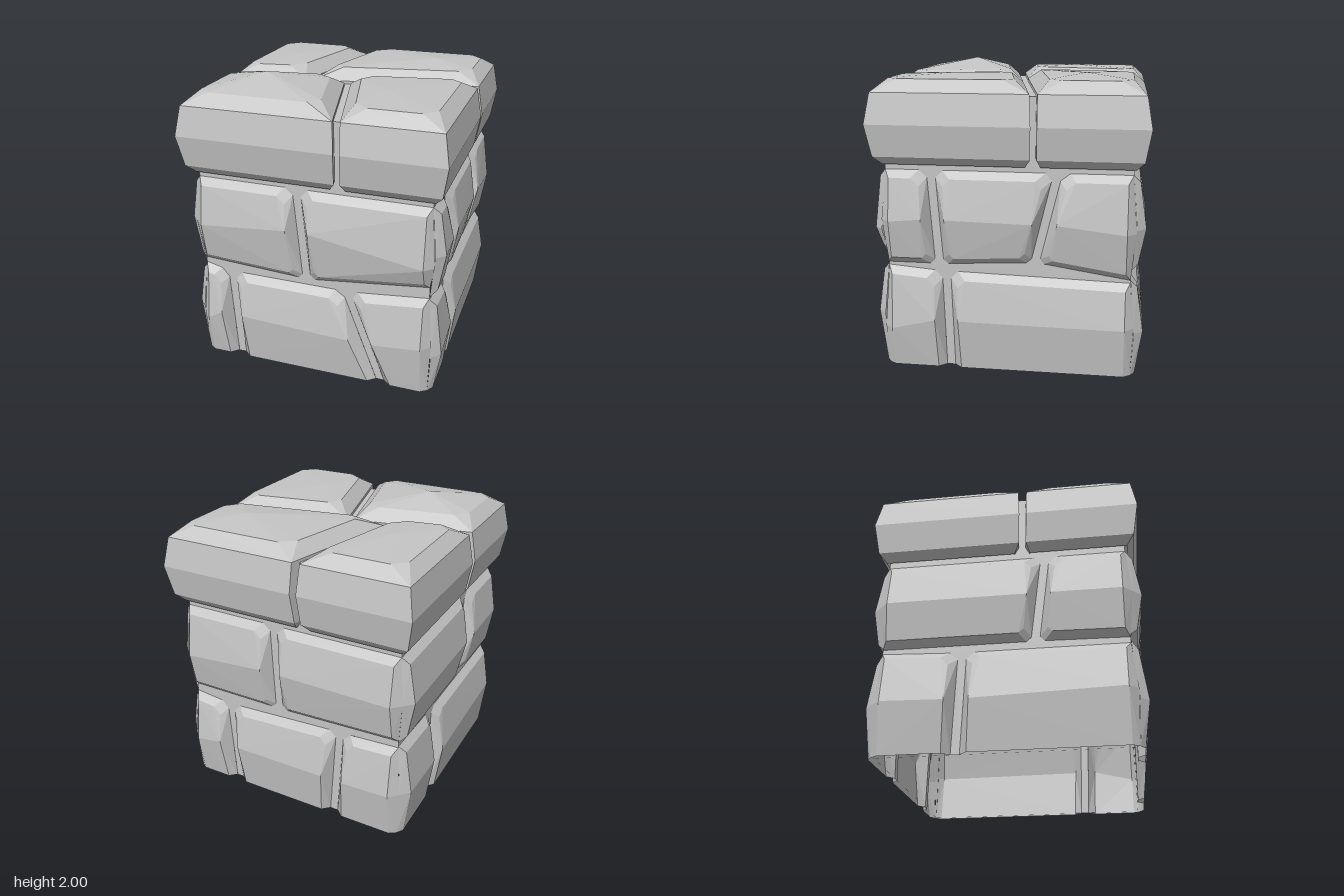
import * as THREE from 'three';
import { ConvexGeometry } from 'three/addons/geometries/ConvexGeometry.js';

const stone = new THREE.MeshStandardMaterial({ color: 0xc4c4c4, side: THREE.DoubleSide });
stone.name = 'grey stone';

const V = (x, y, z) => new THREE.Vector3(x, y, z);

// Convex stone shell without the faces whose normal passes the test
function shell(name, points, isOpen) {
  const full = new ConvexGeometry(points);
  const pos = full.attributes.position.array, nor = full.attributes.normal.array;
  const keptPos = [], keptNor = [];
  for (let i = 0; i < pos.length; i += 9) {
    if (isOpen(nor[i + 1], nor[i + 2])) continue;
    keptPos.push(...pos.slice(i, i + 9));
    keptNor.push(...nor.slice(i, i + 9));
  }
  const geometry = new THREE.BufferGeometry();
  geometry.setAttribute('position', new THREE.Float32BufferAttribute(keptPos, 3));
  geometry.setAttribute('normal', new THREE.Float32BufferAttribute(keptNor, 3));
  const mesh = new THREE.Mesh(geometry, stone);
  mesh.name = name;
  return mesh;
}

// Flat mortar sheet with an opening behind each stone
function mortar(name, bottom, top, openings) {
  const toPoints = poly => poly.map(([x, y]) => new THREE.Vector2(
    THREE.MathUtils.clamp(x, -0.799, 0.799), THREE.MathUtils.clamp(y, bottom + 0.001, top - 0.001)));
  const shape = new THREE.Shape([[-0.8, bottom], [0.8, bottom], [0.8, top], [-0.8, top]]
    .map(p => new THREE.Vector2(...p)));
  shape.holes = openings.map(poly => new THREE.Path(toPoints(poly)));
  const mesh = new THREE.Mesh(new THREE.ShapeGeometry(shape), stone);
  mesh.name = name;
  return mesh;
}

// Move each edge of a convex polygon inwards by its own distance
function inset(poly, dist) {
  const n = poly.length;
  const cx = poly.reduce((s, p) => s + p[0], 0) / n;
  const cy = poly.reduce((s, p) => s + p[1], 0) / n;
  const lines = poly.map((p, i) => {
    const q = poly[(i + 1) % n];
    const len = Math.hypot(q[0] - p[0], q[1] - p[1]);
    let a = -(q[1] - p[1]) / len, b = (q[0] - p[0]) / len;
    if (a * (cx - p[0]) + b * (cy - p[1]) < 0) { a = -a; b = -b; }
    return [a, b, a * p[0] + b * p[1] + dist[i]];
  });
  return lines.map((l, i) => {
    const k = lines[(i + n - 1) % n];
    const det = k[0] * l[1] - l[0] * k[1];
    return [(k[2] * l[1] - l[2] * k[1]) / det, (k[0] * l[2] - l[0] * k[2]) / det];
  });
}

// Cut each corner of a polygon back by its own length
function chop(poly, sizes) {
  const n = poly.length;
  return poly.flatMap((p, i) => sizes[i] === 0 ? [p] : [poly[(i + n - 1) % n], poly[(i + 1) % n]].map(q => {
    const t = sizes[i] / Math.hypot(q[0] - p[0], q[1] - p[1]);
    return [p[0] + (q[0] - p[0]) * t, p[1] + (q[1] - p[1]) * t];
  }));
}

// Point on the line p-q at height h
function atHeight(p, q, h) {
  return p[0] + (q[0] - p[0]) * (h - p[1]) / (q[1] - p[1]);
}

// Wall brick: outline (TL, TR, BR, BL) and the ridge heights at its two ends
function brick(quad, ridge) {
  const out = 0.89;
  const grounded = quad[2][1] === 0;
  const atLeft = quad[0][0] === -0.8, atRight = quad[1][0] === 0.8;
  const front = inset(quad, [0.05, atRight ? 0.03 : 0.05, grounded ? 0 : 0.045, atLeft ? 0.03 : 0.05]);
  const low = grounded ? 0 : 0.03;
  const cuts = [atLeft ? 0 : 0.05, atRight ? 0 : 0.05, atRight ? 0 : low, atLeft ? 0 : low];
  const outline = chop(quad, cuts);
  const pts = [...outline.map(([u, v]) => V(u, v, 0.8)), ...chop(front, cuts).map(([u, v]) => V(u, v, 0.845))];
  [[0, 3, atLeft, -1], [1, 2, atRight, 1]].forEach(([t, b, corner, side], i) => {
    const h = ridge[i];
    pts.push(V(atHeight(front[t], front[b], h), h, out));
    if (corner) {
      // Chamfer shared with the neighbouring wall
      const c = (0.77 + out) / 2;
      pts.push(V(side * c, h, c));
      if (grounded) pts.push(V(side * 0.815, 0, 0.815));
    }
  });
  return { outline, mesh: shell('brick', pts, (ny, nz) => nz < -0.3 || (grounded && ny < -0.99)) };
}

// Bricks of one row between two corners. Each joint is [u at top, u at bottom,
// edge height, ridge height]; a corner gives only the last two. The edge is
// the underside of an upper row or the top of a lower row.
function row(upper, [leftCorner, joints, rightCorner]) {
  const ends = [[-0.8, -0.8, ...leftCorner], ...joints, [0.8, 0.8, ...rightCorner]];
  return ends.slice(1).map(([rt, rb, ry, rr], i) => {
    const [lt, lb, ly, lr] = ends[i];
    const gl = i === 0 ? 0 : 0.028, gr = i + 2 === ends.length ? 0 : 0.028;
    return brick([
      [lt + gl, upper ? 1.35 : ly], [rt - gr, upper ? 1.35 : ry],
      [rb - gr, upper ? ry : 0], [lb + gl, upper ? ly : 0],
    ], [lr, rr]);
  });
}

// Wall made of an upper and a lower row over mortar, turned to face its side
function wall(name, quarterTurns, upper, lower) {
  const group = new THREE.Group();
  group.name = name;
  group.rotation.y = quarterTurns * Math.PI / 2;
  const bricks = [...row(true, upper), ...row(false, lower)];
  const sheet = mortar('mortar', 0, 1.83, bricks.map(b => b.outline));
  sheet.position.z = 0.8;
  group.add(sheet, ...bricks.map(b => b.mesh));
  return group;
}

// Layers of a cap stone: height, inset of outer edges, inset of joint edges
const LAYERS = [[1.385, 0.085, 0.03], [1.44, 0.035, 0], [1.65, 0, 0], [1.85, 0.035, 0.005]];

// Cap stone: plan outline in x,z rising to a peak
function cap(name, plan, peak) {
  const isOuter = plan.map((p, i) => {
    const q = plan[(i + 1) % 4];
    return [0, 1].some(k => p[k] === q[k] && Math.abs(p[k]) === 0.9);
  });
  const layer = (outer, joint) => inset(plan, isOuter.map(o => (o ? outer : joint)));
  const pts = [V(...peak)];
  for (const [y, outer, joint] of LAYERS) {
    pts.push(...layer(outer, joint).map(([x, z]) => V(x, y, z)));
  }
  pts.push(...chop(layer(0.115, 0.09), [0.08, 0.08, 0.08, 0.08]).map(([x, z]) => V(x, 1.93, z)));
  return shell(name, pts, ny => ny < -0.99);
}

export function createModel() {
  const model = new THREE.Group();
  model.name = 'stonePillar';

  // Four walls with two rows of bricks each
  model.add(
    wall('frontWall', 0,
      [[0.74, 1.03], [[-0.105, -0.045, 0.7, 1.08]], [0.79, 0.95]],
      [[0.7, 0.3], [[-0.605, -0.565, 0.66, 0.36], [0.235, 0.48, 0.655, 0.33]], [0.71, 0.36]]),
    wall('rightWall', 1,
      [[0.72, 1.02], [[-0.5, -0.455, 0.72, 1.04], [0.325, 0.18, 0.75, 1.03]], [0.66, 0.98]],
      [[0.7, 0.28], [[-0.41, -0.39, 0.67, 0.35]], [0.64, 0.34]]),
    wall('backWall', 2,
      [[0.72, 1.0], [[-0.115, -0.095, 0.715, 1.04]], [0.74, 1.03]],
      [[0.66, 0.3], [[-0.51, -0.475, 0.63, 0.33], [0.375, 0.325, 0.67, 0.33]], [0.69, 0.34]]),
    wall('leftWall', 3,
      [[0.73, 1.03], [[0.27, 0.2, 0.73, 1.03]], [0.72, 1.03]],
      [[0.7, 0.34], [[-0.27, -0.295, 0.68, 0.33]], [0.68, 0.36]]),
  );

  // Mortar in the joints of the top
  const lid = mortar('mortarTop', -0.8, 0.8, []);
  lid.rotation.x = -Math.PI / 2;
  lid.position.y = 1.83;
  model.add(lid);

  // Four overhanging cap stones
  model.add(
    cap('capFrontLeft', [[-0.9, 0.155], [-0.045, 0.005], [0.185, 0.9], [-0.9, 0.9]], [-0.45, 2, 0.42]),
    cap('capFrontRight', [[-0.01, 0], [0.9, -0.16], [0.9, 0.9], [0.225, 0.9]], [0.38, 1.945, 0.4]),
    cap('capBackLeft', [[-0.9, 0.11], [-0.335, 0.015], [-0.125, -0.9], [-0.9, -0.9]], [-0.52, 1.945, -0.35]),
    cap('capBackRight', [[-0.295, 0.01], [0.9, -0.2], [0.9, -0.9], [-0.08, -0.9]], [0.5, 1.96, -0.48]),
  );
  return model;
}
